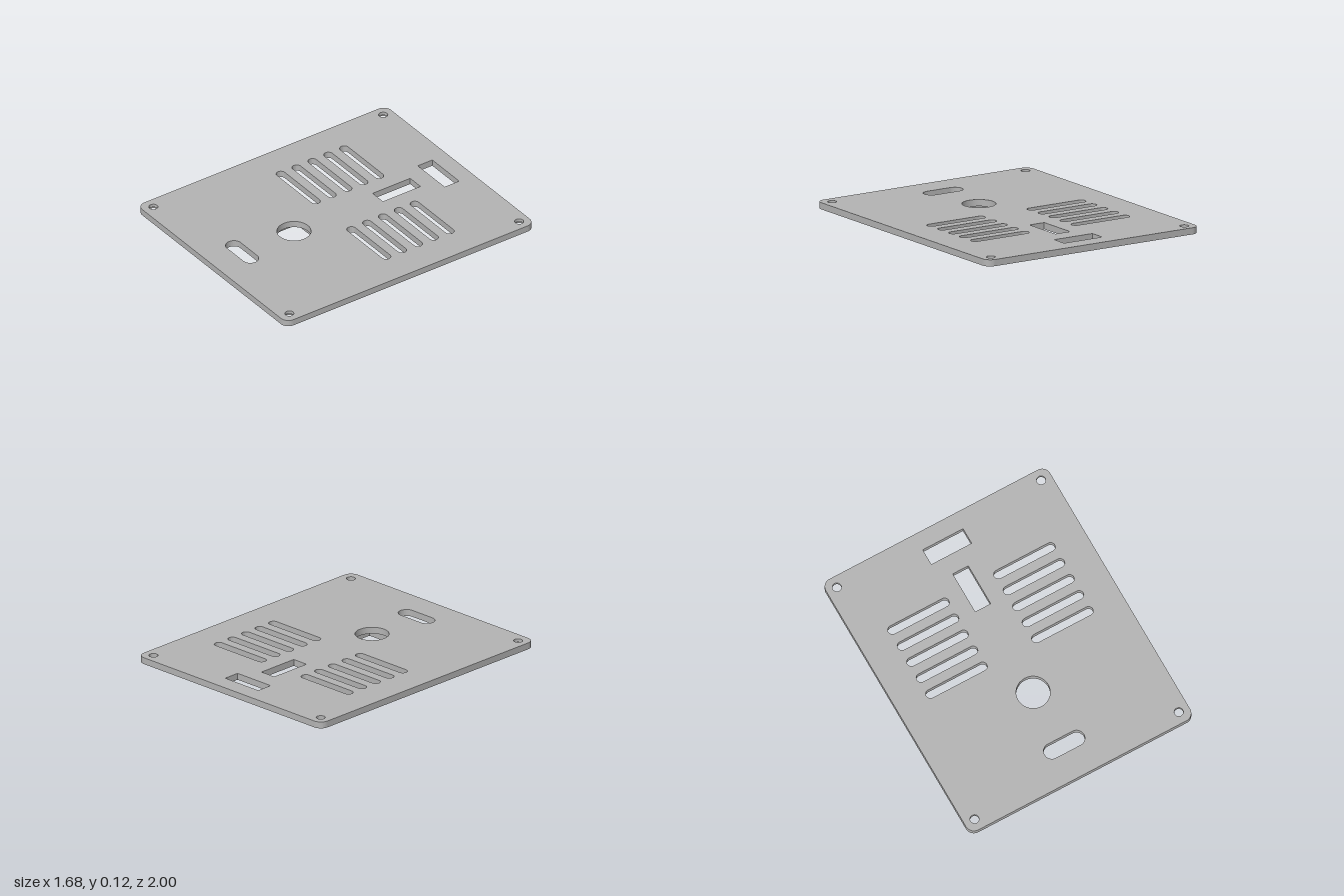
import * as THREE from 'three';
import { toCreasedNormals } from 'three/addons/utils/BufferGeometryUtils.js';

const TOP = 0.115, BASE = 0.07;

// Rounded rectangle outline on the ground plane (second axis is z)
function outline(T, cx, cz, w, d, r = 0) {
  const p = new T();
  const x0 = cx - w / 2, x1 = cx + w / 2, z0 = cz - d / 2, z1 = cz + d / 2;
  if (r === 0) {
    p.moveTo(x0, z0).lineTo(x1, z0).lineTo(x1, z1).lineTo(x0, z1).closePath();
    return p;
  }
  p.moveTo(x0 + r, z0);
  p.absarc(x1 - r, z0 + r, r, -Math.PI / 2, 0);
  p.absarc(x1 - r, z1 - r, r, 0, Math.PI / 2);
  p.absarc(x0 + r, z1 - r, r, Math.PI / 2, Math.PI);
  p.absarc(x0 + r, z0 + r, r, Math.PI, Math.PI * 1.5);
  p.closePath();
  return p;
}

function circle(T, x, z, r) {
  const p = new T();
  p.absarc(x, z, r, 0, Math.PI * 2);
  return p;
}

// Extrude a plan shape downwards from yTop to yBottom
function slab(name, shape, yTop, yBottom, material) {
  const flat = new THREE.ExtrudeGeometry(shape, { depth: yTop - yBottom, bevelEnabled: false, curveSegments: 16 });
  flat.rotateX(Math.PI / 2).translate(0, yTop, 0);
  const mesh = new THREE.Mesh(toCreasedNormals(flat, 0.6), material);
  mesh.name = name;
  return mesh;
}

export function createModel() {
  const group = new THREE.Group();
  group.name = 'coverPlate';
  const grey = new THREE.MeshStandardMaterial({ color: 0xb4b4b4 });
  grey.name = 'plain grey';

  const plate = outline(THREE.Shape, 0, 0, 1.68, 2, 0.06);
  const cut = (...a) => plate.holes.push(outline(THREE.Path, ...a));

  // Rectangular windows, round opening and short slot
  cut(0.003, -0.822, 0.302, 0.116);
  cut(0, -0.487, 0.116, 0.302);
  plate.holes.push(circle(THREE.Path, 0, 0.338, 0.112));
  cut(0, 0.755, 0.294, 0.11, 0.0549);

  // Two banks of vent slots
  for (const side of [-1, 1]) {
    for (let i = 0; i < 5; i++) cut(side * 0.397, -0.49 + i * 0.1275, 0.452, 0.062, 0.0309);
  }

  // Screw holes, wide from below with a narrow collar at the top
  for (const x of [-0.765, 0.765]) {
    for (const z of [-0.926, 0.922]) {
      plate.holes.push(circle(THREE.Path, x, z, 0.05));
      const collar = circle(THREE.Shape, x, z, 0.05);
      collar.holes.push(circle(THREE.Path, x, z, 0.03));
      group.add(slab('screwCollar', collar, TOP, 0.092, grey));
    }
  }
  group.add(slab('plate', plate, TOP, BASE, grey));

  // Open square frame under the round opening
  const frame = outline(THREE.Shape, 0, 0.342, 0.52, 0.472);
  frame.holes.push(outline(THREE.Path, 0, 0.342, 0.37, 0.322));
  group.add(slab('undersideFrame', frame, BASE, 0, grey));

  return group;
}
